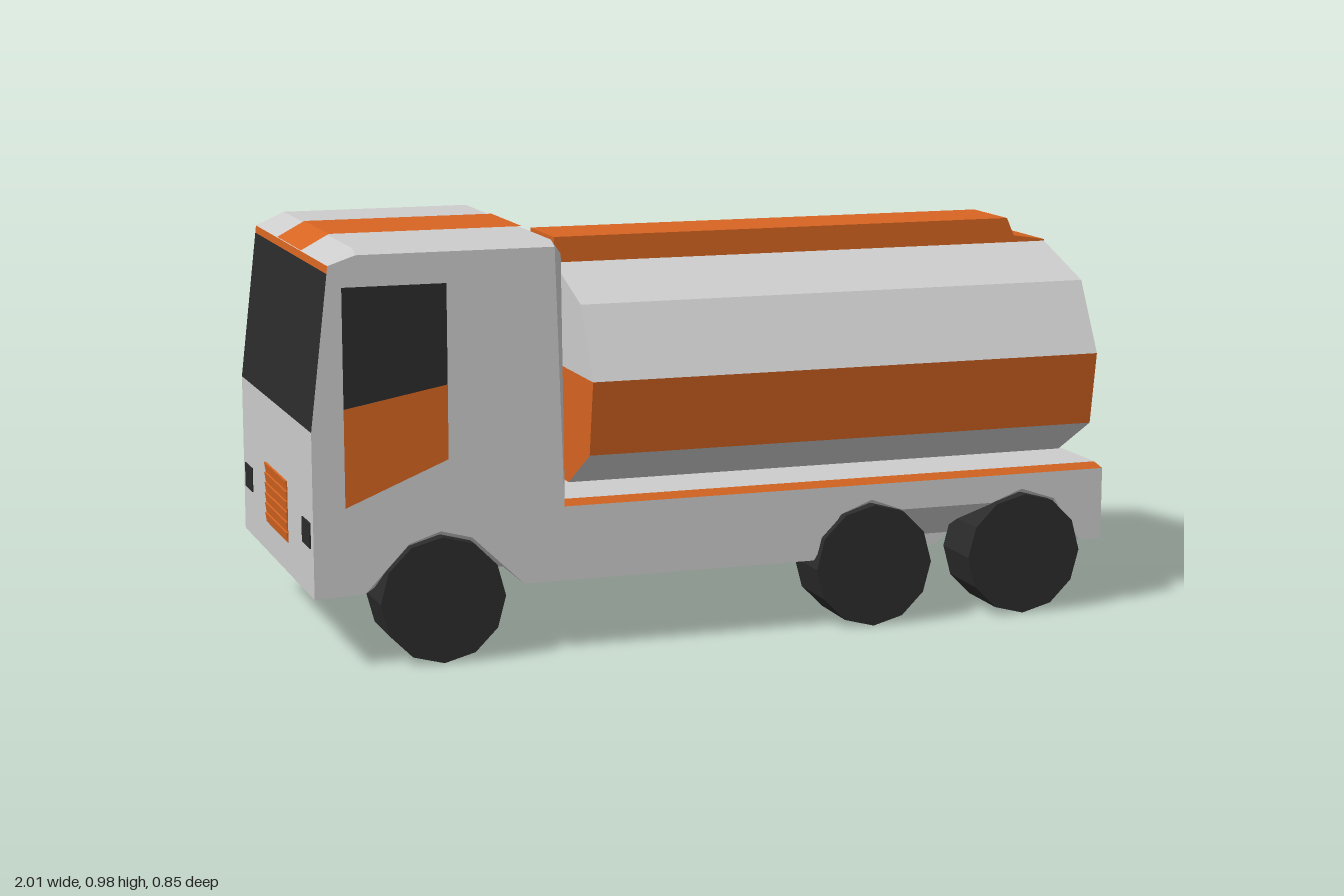
import * as THREE from 'three';

const mat = (name, color) => {
  const m = new THREE.MeshStandardMaterial({ color });
  m.name = name;
  return m;
};

// Flat-shaded geometry from a list of convex polygons (fan triangulated)
function faces(polys) {
  const pos = [];
  for (const p of polys)
    for (let i = 1; i < p.length - 1; i++) pos.push(...p[0], ...p[i], ...p[i + 1]);
  const g = new THREE.BufferGeometry();
  g.setAttribute('position', new THREE.Float32BufferAttribute(pos, 3));
  g.computeVertexNormals();
  return g;
}

// Symmetric panel across the truck between two [x, y, halfWidth] stations
const across = (p, q) => [
  [p[0], p[1], p[2]], [q[0], q[1], q[2]], [q[0], q[1], -q[2]], [p[0], p[1], -p[2]],
];

// Copy reflected to the other side, with winding corrected
function mirrored(geo) {
  const g = geo.clone().scale(1, 1, -1);
  const a = g.attributes.position;
  const u = new THREE.Vector3(), v = new THREE.Vector3();
  for (let i = 0; i < a.count; i += 3) {
    u.fromBufferAttribute(a, i + 1);
    v.fromBufferAttribute(a, i + 2);
    a.setXYZ(i + 1, v.x, v.y, v.z);
    a.setXYZ(i + 2, u.x, u.y, u.z);
  }
  g.computeVertexNormals();
  return g;
}

export function createModel() {
  const truck = new THREE.Group();
  truck.name = 'tankTruck';
  const grey = mat('lightGrey', 0xcccccc);
  const orange = mat('orange', 0xd76522);
  const black = mat('black', 0x2b2b2b);

  const add = (name, geo, m) => {
    const mesh = new THREE.Mesh(geo, m);
    mesh.name = name;
    truck.add(mesh);
    return mesh;
  };
  const addPair = (name, geo, m) => {
    let g = geo.index ? geo.toNonIndexed() : geo;
    g.computeVertexNormals();
    add(name + 'Left', g, m);
    add(name + 'Right', mirrored(g), m);
  };
  const box = (name, m, w, h, d, x, y, z) =>
    add(name, new THREE.BoxGeometry(w, h, d).translate(x, y, z), m);

  const W = 0.405;
  const floorY = 0.17;

  // Lower edge of the body side, with wheel arches
  const sill = [
    [-1, 0.17], [-0.88, 0.175], [-0.775, 0.285], [-0.7, 0.31], [-0.625, 0.29], [-0.5, 0.17],
    [0.23, 0.17], [0.3, 0.28], [0.38, 0.31], [0.46, 0.28], [0.7, 0.28], [0.78, 0.31],
    [0.87, 0.28], [0.94, 0.17], [1, 0.17],
  ];
  const upper = [
    [1, 0.348], [-0.4, 0.348], [-0.42, 0.962], [-0.89, 0.962], [-0.955, 0.94], [-1, 0.56],
  ];
  const outline = new THREE.Shape([...sill, ...upper].map(p => new THREE.Vector2(...p)));
  addPair('bodySide', new THREE.ShapeGeometry(outline).translate(0, 0, W), grey);

  // Underside, sloping up into the arches
  const inner = 0.22;
  const under = [];
  for (let i = 0; i < sill.length - 1; i++) {
    const [a, b] = [sill[i], sill[i + 1]];
    under.push([[a[0], a[1], W], [a[0], floorY, inner], [b[0], floorY, inner], [b[0], b[1], W]]);
  }
  addPair('archLining', faces(under), grey);
  add('floor', faces([across([1, floorY, inner], [-1, floorY, inner])]), grey);

  // Front, roof, cab back, deck and tail panels
  const screenTop = [-0.957, 0.922, W];
  const brow = [-0.955, 0.94, W];
  const roofFront = [-0.89, 0.975, 0.375], roofBack = [-0.42, 0.975, 0.375];
  const backTop = [-0.395, 0.94, 0.37], backFoot = [-0.395, 0.363, 0.39];
  const deckEnd = [0.985, 0.363, 0.39], tailTop = [1, 0.348, W];
  add('cabNose', faces([across([-1, floorY, W], [-1, 0.56, W])]), grey);
  add('windscreen', faces([across([-1, 0.56, W], screenTop)]), black);
  add('windscreenTrim', faces([across(screenTop, brow)]), orange);
  add('cabRoof', faces([across(brow, roofFront), across(roofFront, roofBack)]), grey);
  add('cabBack', faces([across(roofBack, backTop), across(backTop, backFoot)]), grey);
  add('deck', faces([across(backFoot, deckEnd)]), grey);
  add('deckTrimRear', faces([across(deckEnd, tailTop)]), orange);
  add('tail', faces([across(tailTop, [1, floorY, W])]), grey);

  // Bevels joining the cab side to the roof and back
  const a1 = [-0.89, 0.962, W], a2 = [-0.42, 0.962, W], a3 = [-0.4, 0.348, W];
  addPair('cabBevel', faces([
    [brow, a1, roofFront], [a1, a2, roofBack, roofFront], [a2, backTop, roofBack],
    [a2, a3, backFoot, backTop],
  ]), grey);
  addPair('deckTrimSide', faces([[a3, tailTop, deckEnd, backFoot]]), orange);

  // Roof stripe
  const s = 0.135;
  add('roofStripe', faces([
    across([-0.957, 0.943, s], [-0.89, 0.979, s]), across([-0.89, 0.979, s], [-0.42, 0.979, s]),
  ]), orange);

  // Door windows and the orange panels below them
  const z = W + 0.005;
  addPair('doorWindow', faces([
    [[-0.925, 0.61, z], [-0.68, 0.655, z], [-0.68, 0.89, z], [-0.925, 0.89, z]],
  ]), black);
  addPair('doorPanel', faces([
    [[-0.925, 0.38, z], [-0.68, 0.48, z], [-0.68, 0.655, z], [-0.925, 0.61, z]],
  ]), orange);

  // Lamps and grille
  for (const side of [1, -1]) {
    box('headlamp', black, 0.006, 0.06, 0.085, -1, 0.315, side * 0.335);
    box('tailLamp', orange, 0.006, 0.05, 0.073, 1, 0.215, side * 0.342);
  }
  for (let i = 0; i < 6; i++) {
    const slat = box('grilleSlat', orange, 0.006, 0.024, 0.25, 0, 0, 0);
    slat.position.set(-1, 0.257 + i * 0.025, 0);
    slat.rotation.z = 0.15;
  }

  // Tank shell: half cross-section as [z, y]
  const half = [[0.21, 0.363], [0.38, 0.46], [0.41, 0.64], [0.315, 0.81], [0.1, 0.883]];
  const x0 = -0.33, x1 = 0.975;
  const shell = ['tankLower', 'tankBand', 'tankShoulder', 'tankUpper'];
  shell.forEach((name, i) => {
    const [p, q] = [half[i], half[i + 1]];
    addPair(name, faces([
      [[x0, p[1], p[0]], [x1, p[1], p[0]], [x1, q[1], q[0]], [x0, q[1], q[0]]],
    ]), i === 1 ? orange : grey);
  });
  add('tankTop', faces([across([x0, 0.883, 0.1], [x1, 0.883, 0.1])]), grey);

  // Tank ends, split into two colours at the widest line
  for (const x of [x0, x1]) {
    const end = part => {
      const loop = [
        ...part.map(([w, y]) => [x, y, -w]),
        ...[...part].reverse().map(([w, y]) => [x, y, w]),
      ];
      return faces([x > 0 ? loop : loop.reverse()]);
    };
    add('tankEndLower', end(half.slice(0, 3)), orange);
    add('tankEndUpper', end(half.slice(2)), grey);
  }

  // Walkway along the tank top
  const walkway = new THREE.Shape([
    [x0, 0.88], [x1, 0.88], [x1, 0.887], [0.89, 0.9], [0.87, 0.945], [x0, 0.945],
  ].map(p => new THREE.Vector2(...p)));
  add('walkway', new THREE.ExtrudeGeometry(walkway, { depth: 0.2, bevelEnabled: false })
    .translate(0, 0, -0.1), orange);

  // Twelve-sided wheels with light inner discs
  for (const x of [-0.7, 0.38, 0.78]) {
    const wheel = new THREE.CylinderGeometry(0.15, 0.15, 0.15, 12)
      .rotateX(Math.PI / 2).translate(x, 0.15, 0.35);
    addPair('wheel', wheel, [black, black, grey]);
  }

  return truck;
}
